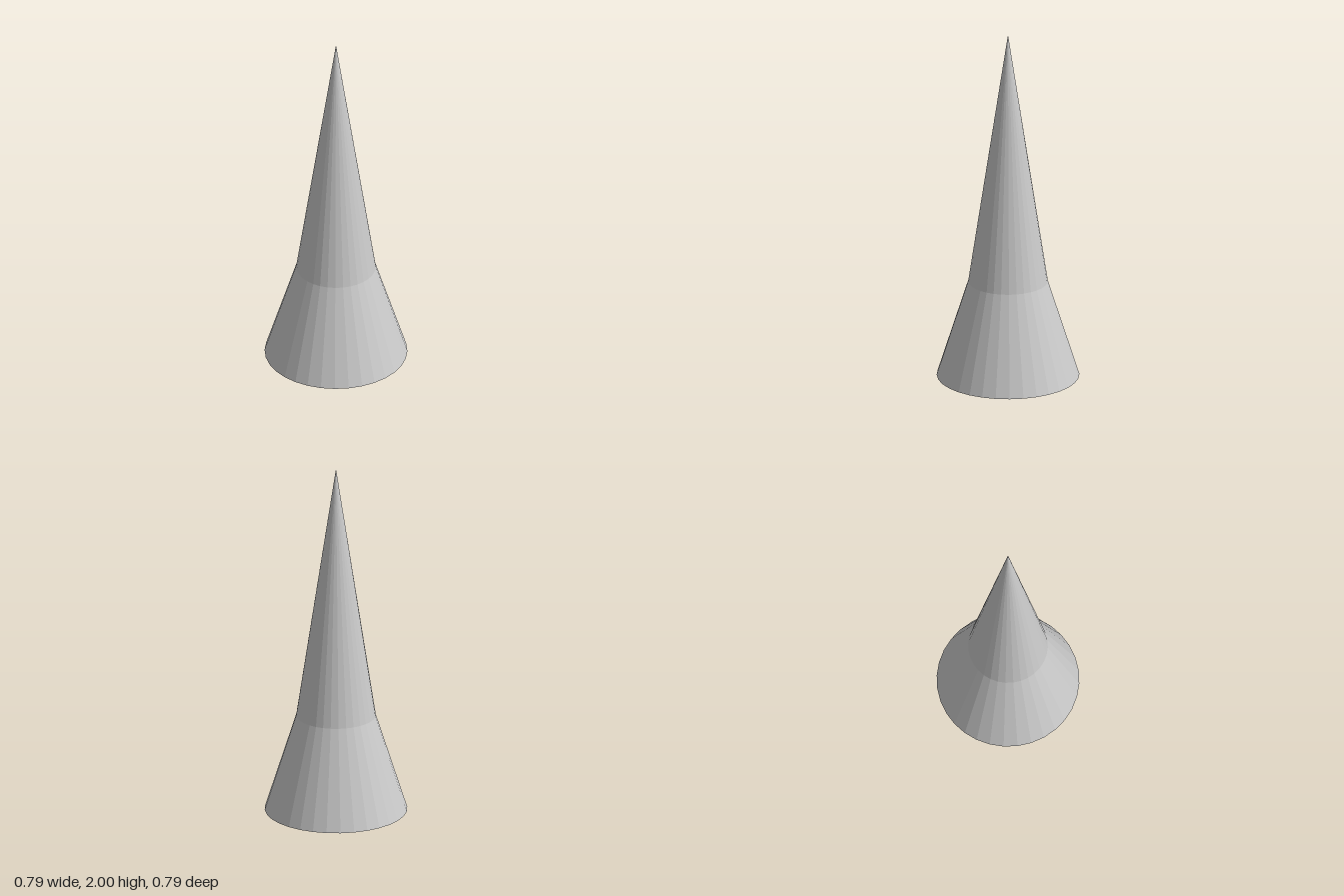
import * as THREE from 'three';

const SIDES = 32;

export function createModel() {
  const group = new THREE.Group();
  group.name = 'spike';
  const material = new THREE.MeshStandardMaterial({
    color: 0xcccccc, flatShading: true, side: THREE.DoubleSide,
  });

  // Open-ended conical section standing on height y
  const addSection = (name, bottomRadius, topRadius, y, height) => {
    const geometry = new THREE.CylinderGeometry(topRadius, bottomRadius, height, SIDES, 1, true);
    geometry.translate(0, y + height / 2, 0);
    const mesh = new THREE.Mesh(geometry, material);
    mesh.name = name;
    group.add(mesh);
  };

  // Flared skirt, open underneath
  addSection('flaredBase', 0.394, 0.22, 0, 0.55);
  // Long tapering point
  addSection('pointedTip', 0.22, 0, 0.55, 1.45);

  return group;
}
